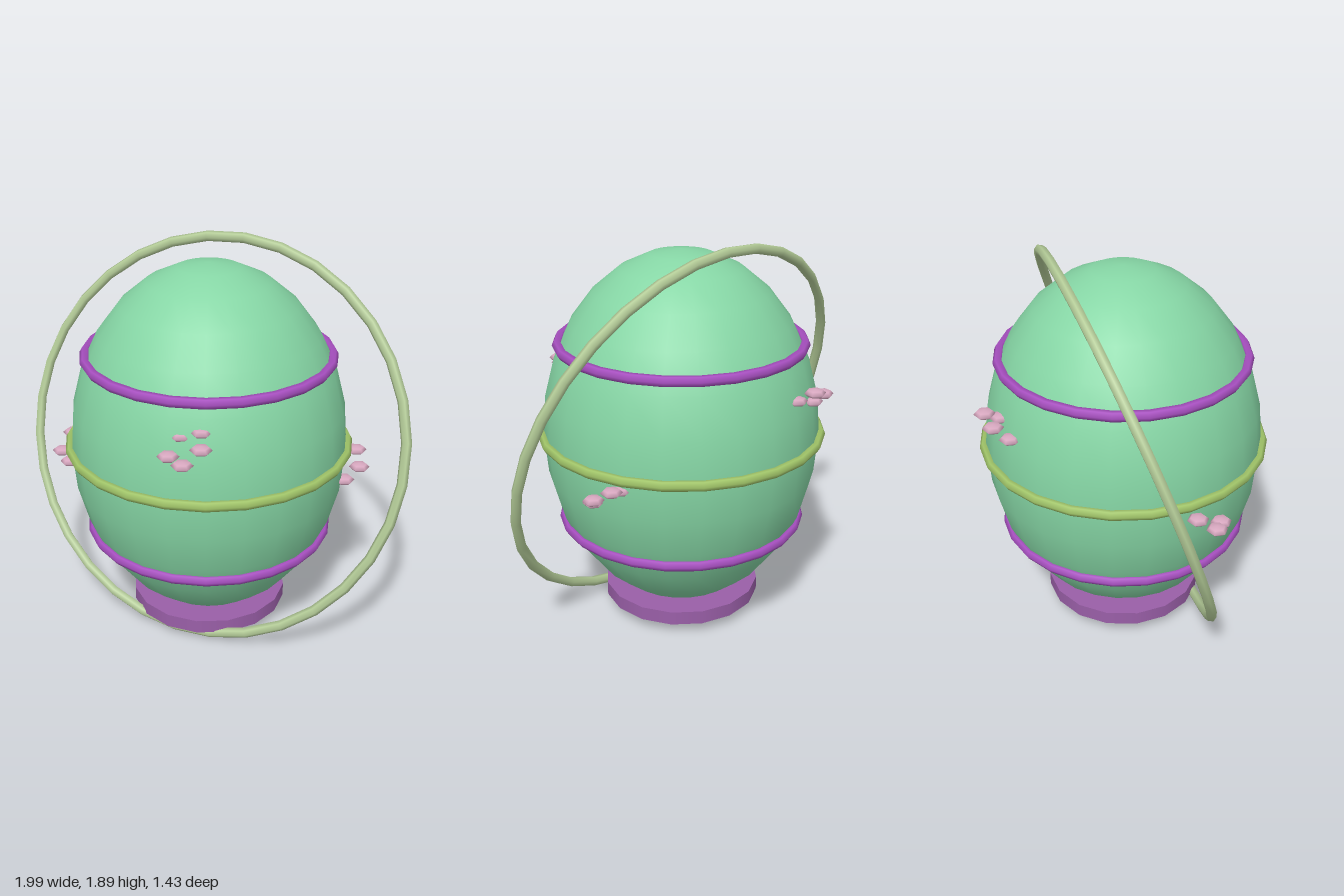
import * as THREE from 'three';

const mat = (name, color) => {
  const m = new THREE.MeshStandardMaterial({ color });
  m.name = name;
  return m;
};

export function createModel() {
  const model = new THREE.Group();
  model.name = 'ringedEgg';
  const shellGreen = mat('shellGreen', 0x86d6a5);
  const oliveGreen = mat('oliveGreen', 0xa0c468);
  const paleGreen = mat('paleGreen', 0xb4cc98);
  const violet = mat('violet', 0xa74fc0);
  const basePurple = mat('basePurple', 0x9a5fa8);
  const petalPink = mat('petalPink', 0xd8a8c0);
  const midY = 0.95;

  const add = (name, geometry, material, x, y, z, parent = model) => {
    const mesh = new THREE.Mesh(geometry, material);
    mesh.name = name;
    mesh.position.set(x, y, z);
    parent.add(mesh);
    return mesh;
  };

  // Egg shell
  const egg = new THREE.SphereGeometry(1, 24, 14).scale(0.67, 0.883, 0.67);
  add('eggShell', egg, shellGreen, 0, midY, 0);

  // Foot disc
  add('base', new THREE.CylinderGeometry(0.39, 0.39, 0.068, 16), basePurple, 0, 0.097, 0);

  // Horizontal bands round the shell
  const band = (name, radius, y, material) => {
    const g = new THREE.TorusGeometry(radius, 0.025, 6, 24).rotateX(Math.PI / 2);
    add(name, g, material, 0, y, 0);
  };
  band('lowerBand', 0.585, 0.505, violet);
  band('middleBand', 0.675, midY, oliveGreen);
  band('upperBand', 0.585, 1.395, violet);

  // Large tilted orbit ring
  const orbit = add('orbitRing', new THREE.TorusGeometry(0.975, 0.025, 6, 32), paleGreen, 0, midY, 0);
  orbit.rotation.set(-0.34, 0.1, 0);

  // Clusters of flattened petals, partly sunk into the shell
  const petal = new THREE.SphereGeometry(1, 6, 4).rotateY(Math.PI / 6).scale(0.05, 0.02, 0.05);
  const clusters = {
    frontBlossom: [[0.32, 1.22, 0.59], [0.285, 1.27, 0.53], [0.2, 1.245, 0.56], [0.19, 1.18, 0.645], [0.27, 1.165, 0.66]],
    leftBlossom: [[0.64, 0.91, -0.33], [0.69, 0.86, -0.26], [0.645, 0.81, -0.19], [0.58, 0.895, -0.31]],
    backBlossom: [[-0.23, 1.27, -0.67], [-0.31, 1.24, -0.64], [-0.32, 1.18, -0.57], [-0.19, 1.22, -0.6]],
    rightBlossom: [[-0.68, 0.895, 0.21], [-0.68, 0.83, 0.3], [-0.6, 0.81, 0.34]],
  };
  for (const [name, petals] of Object.entries(clusters)) {
    const group = new THREE.Group();
    group.name = name;
    model.add(group);
    for (const [x, y, z] of petals) add('petal', petal, petalPink, x, y, z, group);
  }

  return model;
}
